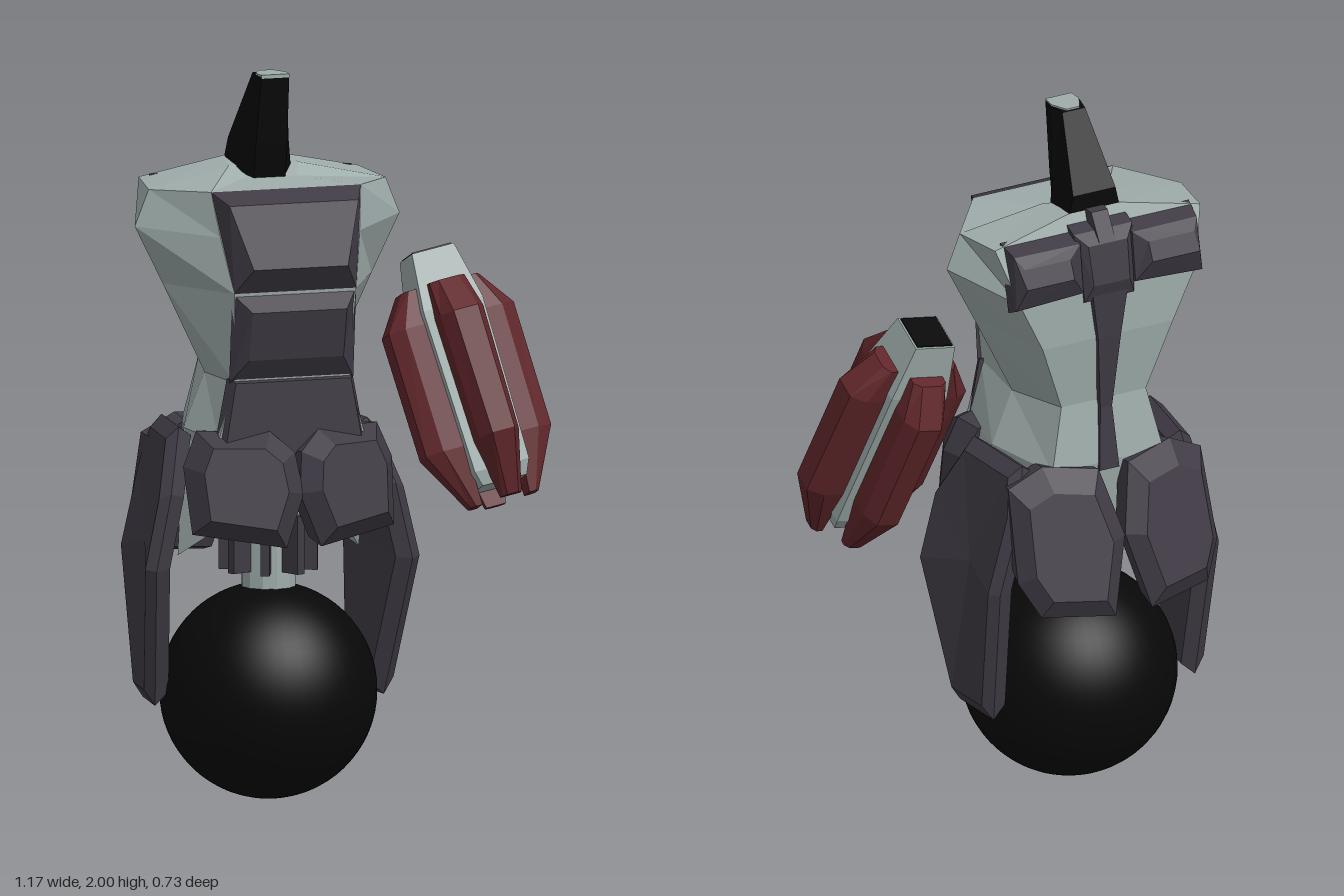
import * as THREE from 'three';

const GREY = 0x9eacaa, DARK = 0x3f3a44, RED = 0x60262a, BLACK = 0x080808;
const material = (color, flatShading = true) => new THREE.MeshStandardMaterial({ color, flatShading });

function addMesh(parent, name, geometry, color, flat = true) {
  const mesh = new THREE.Mesh(geometry, material(color, flat));
  mesh.name = name;
  parent.add(mesh);
  return mesh;
}

const centre = (ring) => [0, 1, 2].map((k) => ring.reduce((sum, p) => sum + p[k], 0) / ring.length);

// Closed faceted solid through rings of equal point count; faces are turned outward.
function loft(rings) {
  const tris = [], n = rings[0].length, last = rings[rings.length - 1];
  const c0 = centre(rings[0]), c1 = centre(last);
  for (let i = 0; i < n; i++) {
    const j = (i + 1) % n;
    tris.push([c0, rings[0][j], rings[0][i]], [c1, last[i], last[j]]);
    for (let r = 0; r + 1 < rings.length; r++) {
      const a = rings[r], b = rings[r + 1];
      tris.push([a[i], a[j], b[j]], [a[i], b[j], b[i]]);
    }
  }
  const v = (p) => new THREE.Vector3(...p);
  const volume = tris.reduce((sum, [a, b, c]) => sum + v(a).dot(v(b).cross(v(c))), 0);
  if (volume < 0) tris.forEach((t) => t.reverse());
  const geometry = new THREE.BufferGeometry();
  geometry.setAttribute('position', new THREE.Float32BufferAttribute(tris.flat(2), 3));
  geometry.computeVertexNormals();
  return geometry;
}

// Left-right symmetric ring from points running front to back.
const sym = (...half) => [...half, ...half.map(([x, y, z]) => [-x, y, z]).reverse()];

// Symmetric quad: half width, height and depth of its upper and lower edges.
const quad = (top, low) => sym(top, low);

// Armour plate: outline in (u, v), set in space by place(u, v, depth below the face).
function plate(outline, inset, thickness, place) {
  const cu = outline.reduce((s, p) => s + p[0], 0) / outline.length;
  const cv = outline.reduce((s, p) => s + p[1], 0) / outline.length;
  const ring = (k, w) => outline.map(([u, v]) => place(cu + (u - cu) * k, cv + (v - cv) * k, w));
  return loft([ring(0.92, thickness), ring(1, thickness * 0.4), ring(inset, 0)]);
}

function buildTorso(body) {
  addMesh(body, 'torso', loft([
    sym([0.08, 1.71, 0.05], [0.10, 1.74, 0], [0.08, 1.75, -0.11]),
    sym([0.215, 1.70, 0.19], [0.34, 1.69, 0.03], [0.315, 1.70, -0.13]),
    sym([0.20, 1.58, 0.225], [0.38, 1.59, 0.03], [0.27, 1.55, -0.19]),
    sym([0.175, 1.43, 0.27], [0.30, 1.43, 0.03], [0.20, 1.40, -0.19]),
    sym([0.165, 1.18, 0.24], [0.18, 1.18, 0.03], [0.13, 1.20, -0.165]),
    sym([0.21, 1.02, 0.24], [0.24, 1.03, 0.03], [0.17, 1.02, -0.19]),
    sym([0.15, 0.80, 0.20], [0.26, 0.68, 0.04], [0.14, 0.80, -0.16]),
    sym([0.10, 0.80, 0.12], [0.12, 0.78, 0.04], [0.10, 0.80, -0.06]),
  ]), GREY);

  // Front armour
  addMesh(body, 'chestPlate', loft([
    quad([0.215, 1.70, 0.19], [0.175, 1.43, 0.27]),
    quad([0.185, 1.67, 0.26], [0.135, 1.50, 0.32])]), DARK);
  addMesh(body, 'bellyPlate', loft([
    quad([0.178, 1.43, 0.26], [0.178, 1.18, 0.235]),
    quad([0.135, 1.38, 0.31], [0.135, 1.245, 0.28])]), DARK);
  addMesh(body, 'waistPlate', loft([
    quad([0.18, 1.19, 0.22], [0.22, 0.98, 0.22]),
    quad([0.165, 1.18, 0.255], [0.20, 0.98, 0.262])]), DARK);

  // Back armour
  for (const s of [1, -1]) {
    const side = (pts) => pts.map(([x, y, z]) => [x * s, y, z]);
    addMesh(body, 'shoulderBladePlate', loft([
      side([[0.07, 1.71, -0.11], [0.29, 1.71, -0.11], [0.29, 1.52, -0.16], [0.07, 1.54, -0.16]]),
      side([[0.08, 1.69, -0.18], [0.28, 1.69, -0.175], [0.285, 1.54, -0.20], [0.08, 1.55, -0.20]]),
      side([[0.12, 1.66, -0.20], [0.26, 1.66, -0.20], [0.265, 1.61, -0.225], [0.12, 1.61, -0.225]]),
    ]), DARK);
  }
  addMesh(body, 'collarBlock', loft([
    quad([0.09, 1.73, -0.10], [0.075, 1.50, -0.16]),
    quad([0.09, 1.71, -0.16], [0.075, 1.52, -0.20]),
    quad([0.06, 1.68, -0.19], [0.055, 1.57, -0.215])]), DARK);
  addMesh(body, 'collarFin', loft([
    quad([0.03, 1.755, -0.08], [0.03, 1.65, -0.10]),
    quad([0.025, 1.755, -0.14], [0.025, 1.68, -0.19])]), DARK);
  addMesh(body, 'spine', loft([
    sym([0.065, 1.55, -0.15], [0.055, 1.55, -0.205]),
    sym([0.04, 1.40, -0.15], [0.035, 1.40, -0.20]),
    sym([0.02, 1.18, -0.13], [0.018, 1.18, -0.18]),
    sym([0.03, 1.00, -0.15], [0.03, 1.00, -0.20])]), DARK);
}

function buildHead(body) {
  addMesh(body, 'head', loft([
    sym([0.045, 1.68, 0.045], [0.08, 1.70, 0], [0.08, 1.73, -0.11]),
    sym([0.045, 1.80, 0.067], [0.072, 1.80, 0], [0.065, 1.80, -0.11]),
    sym([0.04, 1.995, 0.10], [0.045, 1.995, 0.06], [0.035, 1.995, 0.01]),
  ]), BLACK);
  addMesh(body, 'headCap', loft([
    sym([0.04, 1.99, 0.10], [0.043, 1.99, 0.06], [0.02, 1.99, 0.015]),
    sym([0.04, 2.00, 0.10], [0.043, 2.00, 0.06], [0.02, 2.00, 0.015]),
  ]), GREY);
}

function buildHips(body) {
  const front = [[0.08, 1.045], [0.27, 1.045], [0.31, 0.95], [0.30, 0.77], [0.06, 0.735], [0.005, 0.88], [0.02, 0.99]];
  const back = [[0.05, 1.02], [0.20, 1.04], [0.30, 0.99], [0.31, 0.74], [0.26, 0.645], [0.06, 0.63], [0.005, 0.84]];
  const flank = [[-0.15, 1.04], [0.08, 1.04], [0.17, 0.87], [0.18, 0.66], [0.05, 0.27], [-0.11, 0.27], [-0.18, 0.68], [-0.19, 0.93]];
  for (const s of [1, -1]) {
    addMesh(body, 'frontHipPlate', plate(front, 0.7, 0.13, (u, v, w) =>
      [s * (u - w * 0.2), v, 0.37 - 0.35 * (u - 0.09) - 0.25 * (v - 0.8) - w]), DARK);
    addMesh(body, 'backHipPlate', plate(back, 0.72, 0.11, (u, v, w) =>
      [s * (u - w * 0.1), v, -(0.385 - 0.25 * (u - 0.04) - 0.32 * (v - 0.655) - w)]), DARK);
    addMesh(body, 'sideLegPlate', plate(flank, 0.9, 0.07, (u, v, w) => {
      const bulge = v > 0.68 ? 0.375 - 0.24 * (v - 0.68) : 0.375 - 0.06 * (0.68 - v);
      return [s * (bulge + 0.12 * u - w), v, u];
    }), DARK);
  }
}

function buildWheel(body) {
  const ball = addMesh(body, 'ballWheel', new THREE.SphereGeometry(0.297, 48, 32), BLACK, false);
  ball.position.set(0, 0.297, 0.04);
  const hub = addMesh(body, 'wheelHub', new THREE.CylinderGeometry(0.075, 0.075, 0.26, 12), GREY);
  hub.position.set(0, 0.71, 0.04);
  // Fins ringing the hub
  for (let i = 0; i < 8; i++) {
    const a = (i / 8) * Math.PI * 2 + Math.PI / 8;
    const fin = addMesh(body, 'hubFin', new THREE.BoxGeometry(0.07, 0.16, 0.025), DARK);
    fin.position.set(Math.cos(a) * 0.1, 0.71, 0.04 + Math.sin(a) * 0.1);
    fin.rotation.y = -a;
  }
}

function buildArm(root) {
  const arm = new THREE.Group();
  arm.name = 'leftForearm';
  const bottom = new THREE.Vector3(0.425, 0.85, 0.175), top = new THREE.Vector3(0.297, 1.46, -0.055);
  arm.position.copy(bottom);
  const axis = top.clone().sub(bottom);
  const length = axis.length();
  arm.quaternion.setFromUnitVectors(new THREE.Vector3(0, 1, 0), axis.normalize());
  root.add(arm);

  const square = (h, r) => sym([r, h, r], [r, h, -r]);
  addMesh(arm, 'forearmCore', loft([
    square(0, 0.065), square(0.04, 0.08), square(0.5, 0.088), square(length, 0.062)]), GREY);
  addMesh(arm, 'elbowSocket', loft([square(length - 0.01, 0.056), square(length + 0.004, 0.056)]), BLACK);

  // Four bulging plates; each section gives height, inner and outer radius, half width.
  const sections = [[-0.045, 0.07, 0.10, 0.025], [0.12, 0.075, 0.185, 0.05], [0.47, 0.08, 0.185, 0.055], [0.57, 0.075, 0.115, 0.045]];
  for (let i = 0; i < 4; i++) {
    const shell = addMesh(arm, 'forearmPlate', loft(sections.map(([h, r0, r1, w]) => {
      const rim = r0 + (r1 - r0) * 0.6;
      return sym([w * 0.65, h, r1], [w * 1.15, h, rim], [w * 1.15, h, r0]);
    })), RED);
    shell.rotation.y = (i * Math.PI) / 2;
  }
}

export function createModel() {
  const model = new THREE.Group();
  model.name = 'ballWheeledRobot';
  const body = new THREE.Group();
  body.name = 'body';
  body.position.x = -0.19;
  model.add(body);
  buildTorso(body);
  buildHead(body);
  buildHips(body);
  buildWheel(body);
  buildArm(model);
  return model;
}
